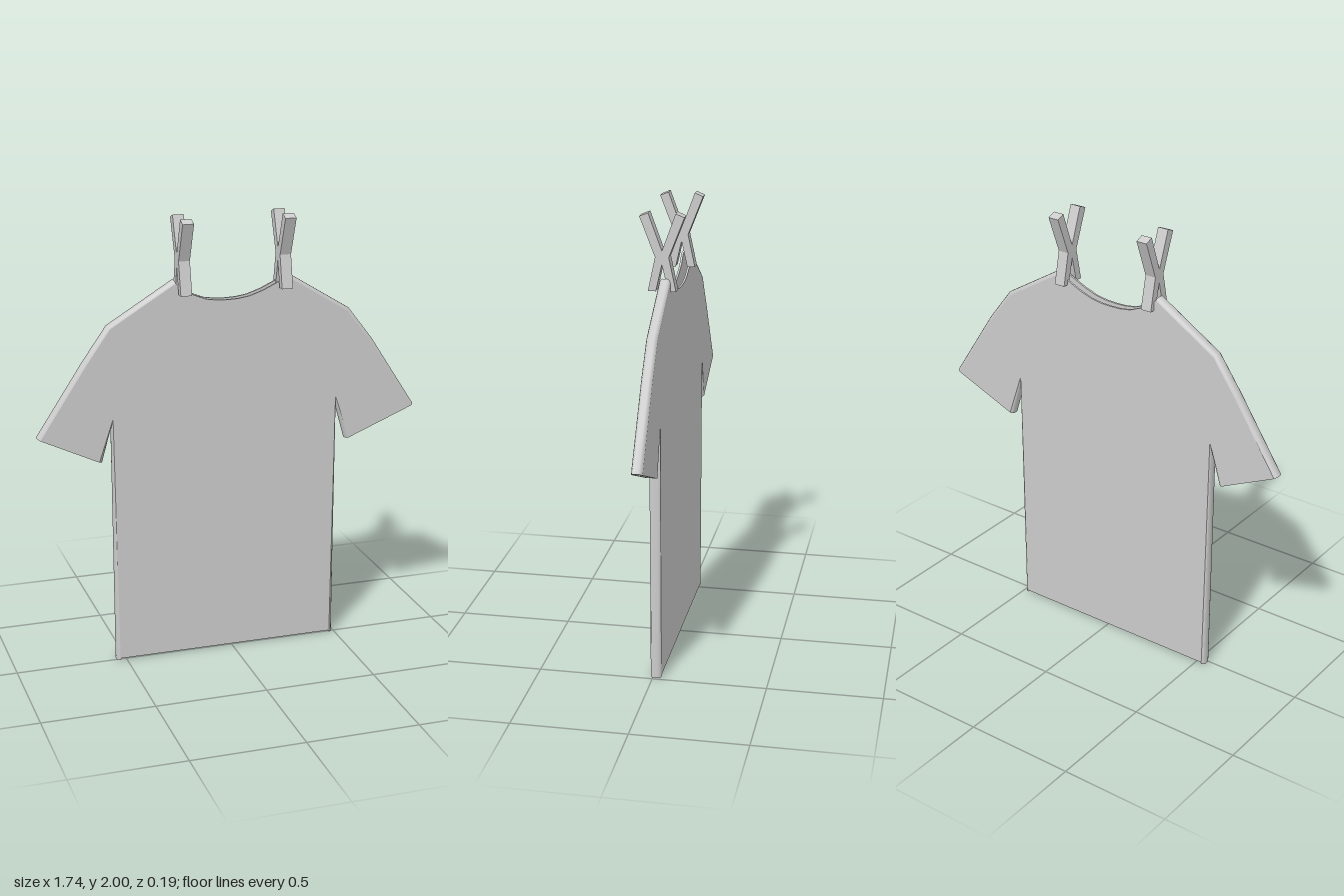
import * as THREE from 'three';
import { toCreasedNormals } from 'three/addons/utils/BufferGeometryUtils.js';

const HALF = 0.0235, WALL = 0.009, INSET = 0.015, Z = -0.0125;

const material = new THREE.MeshStandardMaterial({ color: 0xcccccc, side: THREE.DoubleSide });

// Seams run counter-clockwise round the shirt, cloth on their left side
const seams = {
  leftSideSeam: [[0.49, 0], [0.49, 1.12], [0.54, 0.945]],
  leftShoulderSeam: [[0.867, 1.08], [0.66, 1.4], [0.545, 1.55], [0.26, 1.725]],
  rightShoulderSeam: [[-0.26, 1.73], [-0.555, 1.55], [-0.665, 1.395], [-0.873, 1.08]],
  rightSideSeam: [[-0.59, 0.945], [-0.544, 1.11], [-0.544, 0]],
};
const neck = [[0.205, 1.69], [0.14, 1.66], [0.08, 1.64], [0.03, 1.632], [-0.02, 1.63],
  [-0.07, 1.632], [-0.12, 1.64], [-0.205, 1.675]];

// Rounded C-shaped seam section: [inset from edge, z], outside then inside
const section = [
  [INSET, HALF], [0.005, 0.019], [0, 0.01], [0, -0.01], [0.005, -0.019], [INSET, -HALF],
  [INSET, WALL - HALF], [0.01, -0.013], [WALL, -0.008], [WALL, 0.008], [0.01, 0.013], [INSET, HALF - WALL],
];

// Mitred inward direction at each point of a path
function inwardNormals(path) {
  const edges = path.slice(1).map(([x, y], i) =>
    new THREE.Vector2(path[i][1] - y, x - path[i][0]).normalize());
  return path.map((_, i) => {
    const a = edges[Math.max(i - 1, 0)], b = edges[Math.min(i, edges.length - 1)];
    const m = a.clone().add(b).normalize();
    return m.multiplyScalar(1 / Math.max(m.dot(a), 0.5));
  });
}

function insetPath(path, d) {
  const n = inwardNormals(path);
  return path.map(([x, y], i) => [x + n[i].x * d, y + n[i].y * d]);
}

// Sweep the seam section along a path and close its ends
function seamGeometry(path) {
  const columns = section.map(([d, z]) => insetPath(path, d).map(([x, y]) => [x, y, Z + z]));
  const pos = [];
  const quad = (a, b, c, d) => pos.push(...a, ...b, ...c, ...a, ...c, ...d);
  const n = section.length, last = path.length - 1;
  for (let k = 0; k < n; k++) {
    const p = columns[k], q = columns[(k + 1) % n];
    for (let i = 0; i < last; i++) quad(p[i], p[i + 1], q[i + 1], q[i]);
  }
  for (let k = 0; k < n / 2 - 1; k++) {
    const ring = [columns[k], columns[k + 1], columns[n - 2 - k], columns[n - 1 - k]];
    quad(...ring.map(c => c[0]));
    quad(...ring.map(c => c[last]).reverse());
  }
  const geo = new THREE.BufferGeometry();
  geo.setAttribute('position', new THREE.Float32BufferAttribute(pos, 3));
  return toCreasedNormals(geo, 0.8);
}

function toShape(points) {
  return new THREE.Shape(points.map(([x, y]) => new THREE.Vector2(x, y)));
}

function add(parent, name, geometry) {
  const mesh = new THREE.Mesh(geometry, material);
  mesh.name = name;
  parent.add(mesh);
  return mesh;
}

export function createModel() {
  const model = new THREE.Group();
  model.name = 'hangingShirt';

  // Shirt: two thin panels joined by rounded seams; neck, cuffs and hem stay open
  const shirt = new THREE.Group();
  shirt.name = 'shirt';
  model.add(shirt);
  const [side1, shoulder1, shoulder2, side2] = Object.values(seams).map(p => insetPath(p, INSET));
  const hem = [[-0.525, 0.008], [0.47, 0.008]];
  const outline = toShape([...side1, ...shoulder1, ...neck, ...shoulder2, ...side2, ...hem]);
  const panel = new THREE.ExtrudeGeometry(outline, { depth: WALL, bevelEnabled: false });
  add(shirt, 'frontPanel', panel).position.z = Z + HALF - WALL;
  add(shirt, 'backPanel', panel).position.z = Z - HALF;
  for (const [name, path] of Object.entries(seams)) add(shirt, name, seamGeometry(path));

  // Clothes pegs: two bent halves touching at the waist
  const half = [[0.095, 1.985], [0.029, 1.815], [0.06, 1.67], [0.026, 1.67], [-0.008, 1.82], [0.058, 2]];
  for (const [name, x] of [['rightPeg', -0.22], ['leftPeg', 0.235]]) {
    const peg = new THREE.Group();
    peg.name = name;
    peg.position.x = x;
    model.add(peg);
    for (const s of [1, -1]) {
      const geo = new THREE.ExtrudeGeometry(toShape(half.map(([z, y]) => [s * z, y])),
        { depth: 0.05, bevelEnabled: false });
      geo.translate(0, 0, -0.025).rotateY(-Math.PI / 2);
      add(peg, s > 0 ? 'frontHalf' : 'backHalf', geo);
    }
  }
  return model;
}
